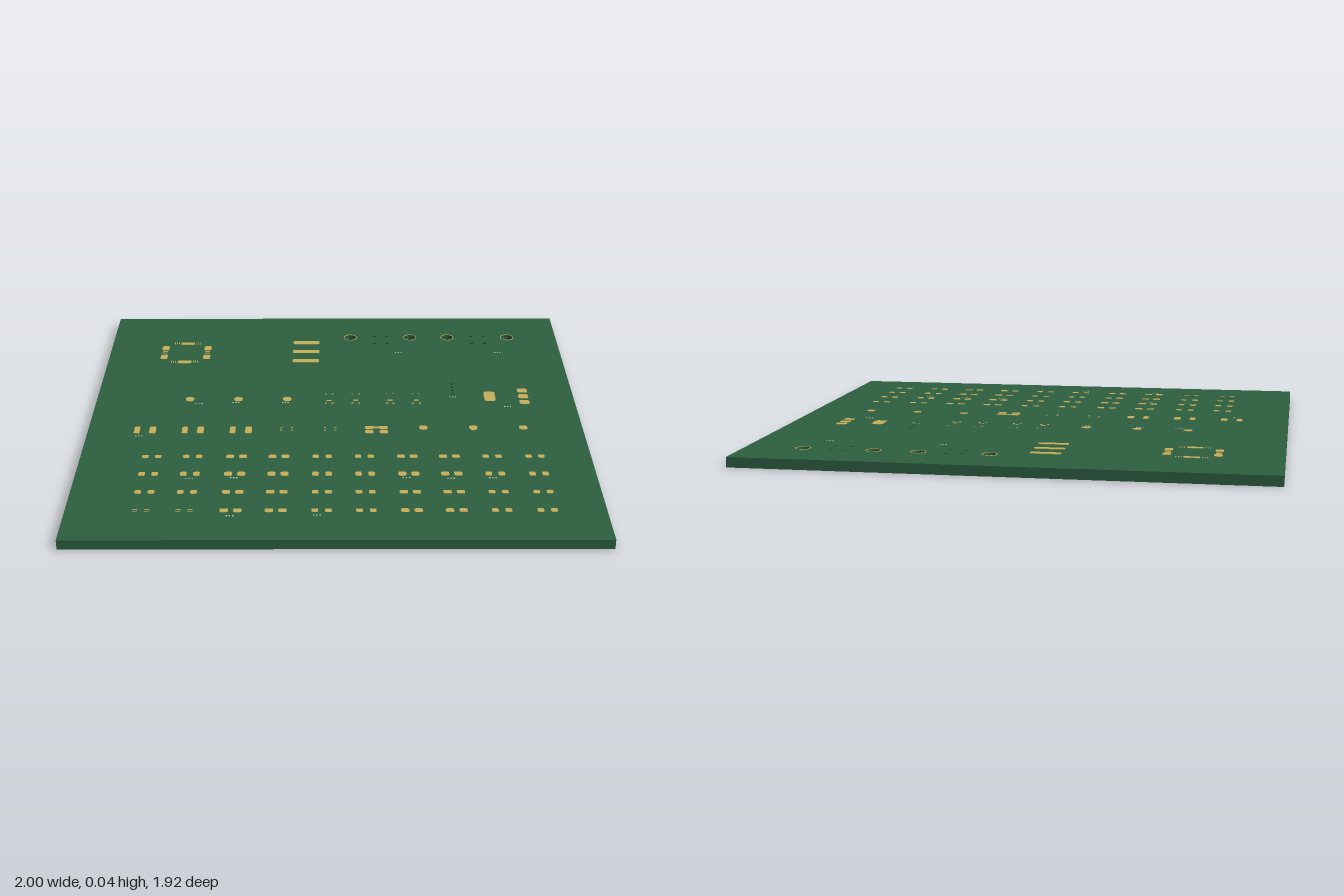
import * as THREE from 'three';

const TOP = 0.0385; // upper face of the board
const T = 0.0015; // thickness of copper and ink

const green = new THREE.MeshStandardMaterial({ name: 'solder mask green', color: 0x2c5f40 });
const gold = new THREE.MeshStandardMaterial({ name: 'pad gold', color: 0xc6ae59 });
const ink = new THREE.MeshStandardMaterial({ name: 'ink grey', color: 0xc4cbc4 });

export function createModel() {
  const model = new THREE.Group();

  // Lays an extruded plan shape flat: shape y becomes -z
  function slab(name, shape, depth, y, material, parent = model) {
    const geo = new THREE.ExtrudeGeometry(shape, { depth, bevelEnabled: false, curveSegments: 10 });
    geo.rotateX(-Math.PI / 2);
    const mesh = new THREE.Mesh(geo, material);
    mesh.name = name;
    mesh.position.y = y;
    parent.add(mesh);
    return mesh;
  }
  function group(name) {
    const g = new THREE.Group();
    g.name = name;
    model.add(g);
    return g;
  }

  // Rounded pad centred on x, z
  function pad(parent, x, z, w, d, r = 0.3, y = TOP) {
    const s = new THREE.Shape();
    const a = w / 2, b = d / 2, c = Math.min(w, d) * r;
    s.moveTo(-a + c, -b).lineTo(a - c, -b).quadraticCurveTo(a, -b, a, -b + c);
    s.lineTo(a, b - c).quadraticCurveTo(a, b, a - c, b);
    s.lineTo(-a + c, b).quadraticCurveTo(-a, b, -a, b - c);
    s.lineTo(-a, -b + c).quadraticCurveTo(-a, -b, -a + c, -b);
    const m = slab('pad', s, T, y, gold, parent);
    m.position.x = x;
    m.position.z = z;
  }
  function strip(parent, name, x, z, w, d, material) {
    const m = new THREE.Mesh(new THREE.BoxGeometry(w, T, d), material);
    m.name = name;
    m.position.set(x, TOP + T / 2, z);
    parent.add(m);
  }

  // Drilled holes: two jack footprints and a pin header
  const mounts = [0.068, 0.337, 0.507, 0.778].map(x => [x, -0.75, 0.027]);
  const pins = [];
  for (const cx of [0.203, 0.642])
    for (const sx of [-1, 1])
      for (const z of [-0.763, -0.691]) pins.push([cx + sx * 0.029, z, 0.0095]);
  const header = [-0.28, -0.25, -0.22, -0.19].map(z => [0.493, z, 0.0075]);

  // Board
  const outline = new THREE.Shape();
  outline.moveTo(-1, -0.96).lineTo(1, -0.96).lineTo(1, 0.96).lineTo(-1, 0.96).closePath();
  for (const [x, z, r] of [...mounts, ...pins, ...header])
    outline.holes.push(new THREE.Path().absarc(x, -z, r, 0, Math.PI * 2, true));
  slab('board', outline, TOP - T, T, green);
  // Lower mask layer brings the board down to the ground
  slab('lowerMask', outline, T, 0, green);

  // Thin gold rings round the mounting holes
  const rings = group('mountingRings');
  for (const [x, z, r] of mounts) {
    const s = new THREE.Shape().absarc(x, -z, r + 0.003, 0, Math.PI * 2, false);
    s.holes.push(new THREE.Path().absarc(x, -z, r, 0, Math.PI * 2, true));
    slab('ring', s, T, TOP, gold, rings);
  }

  // Edge connector pads, three above and two below
  const connector = group('connectorPads');
  for (const z of [-0.695, -0.602, -0.508]) pad(connector, -0.13, z, 0.117, 0.031);
  for (const z of [-0.695, -0.508]) pad(connector, -0.13, z, 0.117, 0.031, 0.3, -0.0008);

  // Square chip: wide pads with fine leads on all four sides
  const chip = group('chipPads');
  const cx = -0.664, cz = -0.592;
  for (const s of [-1, 1]) {
    pad(chip, cx, cz + s * 0.094, 0.06, 0.026);
    for (const t of [-1, 1]) {
      pad(chip, cx + s * 0.094, cz + t * 0.045, 0.031, 0.042);
      for (const o of [0.039, 0.048, 0.057])
        strip(chip, 'lead', cx + t * o, cz + s * 0.094, 0.003, 0.02, gold);
    }
    for (const o of [-0.016, -0.008, 0, 0.008, 0.016])
      strip(chip, 'lead', cx + s * 0.094, cz + o, 0.022, 0.003, gold);
  }

  // Regulator: tab with three terminals
  const regulator = group('regulatorPads');
  pad(regulator, 0.648, -0.162, 0.047, 0.086);
  for (const z of [-0.215, -0.163, -0.11]) pad(regulator, 0.79, z, 0.042, 0.036);

  // Round test points
  const points = group('testPoints');
  for (const x of [-0.61, -0.407, -0.203]) pad(points, x, -0.138, 0.036, 0.036, 0.45);
  for (const x of [0.355, 0.557, 0.76]) pad(points, x, 0.115, 0.034, 0.034, 0.45);
  pad(points, 0.557, 0.127, 0.02, 0.02);

  // Small transistors: leads above and below
  const transistors = group('transistorPads');
  for (const x of [-0.027, 0.085, 0.228, 0.338]) {
    for (const s of [-1, 1]) {
      strip(transistors, 'lead', x + s * 0.014, -0.187, 0.007, 0.006, gold);
      strip(transistors, 'lead', x + s * 0.014, -0.101, 0.008, 0.01, gold);
    }
    strip(transistors, 'lead', x, -0.126, 0.02, 0.009, gold);
  }

  // Large capacitors: tall pad pairs
  const capacitors = group('capacitorPads');
  for (const [a, b] of [[-0.802, -0.739], [-0.609, -0.546], [-0.416, -0.352]]) {
    pad(capacitors, a, 0.134, 0.023, 0.055);
    pad(capacitors, b, 0.134, 0.027, 0.055);
  }

  // Crystal, with its four corner pads
  const crystal = group('crystalPads');
  for (const sx of [-1, 1])
    for (const sz of [-1, 1]) pad(crystal, 0.165 + sx * 0.029, 0.133 + sz * 0.018, 0.034, 0.026);
  strip(crystal, 'link', 0.165, 0.114, 0.036, 0.012, gold);

  // Grid of small two-terminal parts
  const grid = group('chipResistorPads');
  const columns = [-0.72, -0.56, -0.388, -0.222, -0.053, 0.112, 0.28, 0.445, 0.612, 0.78];
  [0.352, 0.488, 0.624, 0.757].forEach((z, row) => columns.forEach((x, i) => {
    const fine = row === 3 && i < 2;
    const w = [2, 3, 6, 7].includes(i) ? 0.031 : 0.025;
    for (const s of [-1, 1]) {
      if (fine) for (const o of [-0.006, 0.006]) strip(grid, 'lead', x + s * 0.022, z + o, 0.02, 0.003, gold);
      else pad(grid, x + s * 0.025, z, w, row === 1 ? 0.03 : 0.025);
    }
  }));

  // Tiny four-lead footprints
  const tiny = group('tinyPads');
  for (const x of [-0.198, -0.022])
    for (const sx of [-1, 1])
      for (const z of [0.114, 0.136]) strip(tiny, 'lead', x + sx * 0.022, z, 0.008, 0.005, gold);

  // Plain ink ticks beside the footprints
  const marks = group('inkMarks');
  const ticks = [[0.28, -0.593], [0.722, -0.593], [-0.57, -0.099], [-0.415, -0.107], [-0.21, -0.107],
    [0.493, -0.157], [0.715, -0.068], [-0.79, 0.183], [-0.56, 0.523], [-0.39, 0.518],
    [0.27, 0.518], [0.44, 0.523], [0.6, 0.52], [-0.39, 0.795], [-0.07, 0.79]];
  for (const [x, z] of ticks)
    for (const o of [-0.012, 0, 0.012]) strip(marks, 'tick', x + o, z, 0.005, 0.007, ink);

  return model;
}
